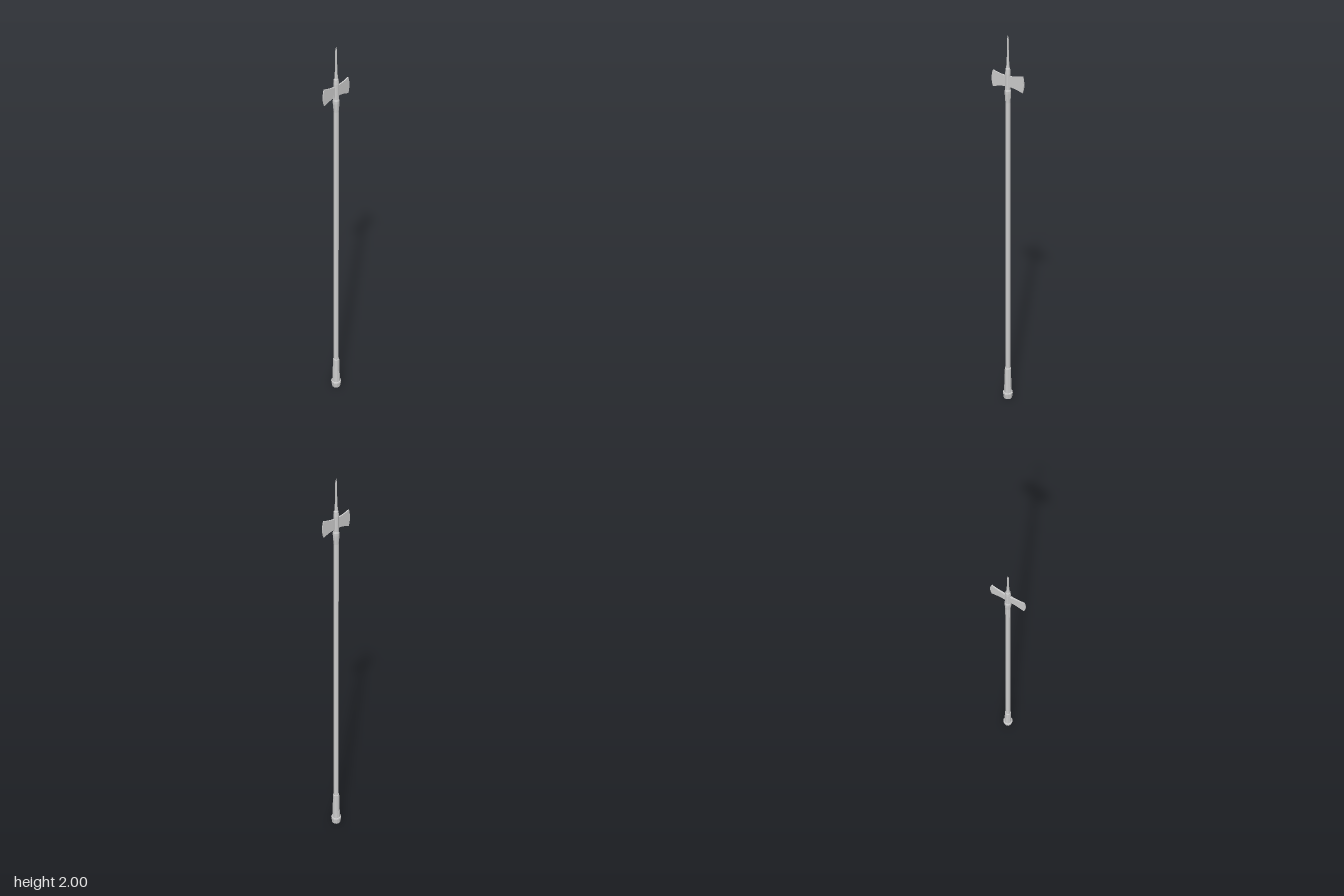
import * as THREE from 'three';

const mat = new THREE.MeshStandardMaterial({ color: 0xcccccc, flatShading: true });

// Turned part from [radius, y] pairs, listed bottom to top
function turned(name, profile, sides = 10) {
  const points = profile.map(([r, y]) => new THREE.Vector2(r, y));
  const mesh = new THREE.Mesh(new THREE.LatheGeometry(points, sides), mat);
  mesh.name = name;
  return mesh;
}

// Flared axe blade pointing along +x, thinning towards its edge
function bladeGeometry() {
  const s = new THREE.Shape();
  s.moveTo(0, 1.757);
  s.lineTo(0.018, 1.757);
  s.quadraticCurveTo(0.045, 1.755, 0.079, 1.742);
  s.quadraticCurveTo(0.093, 1.782, 0.079, 1.822);
  s.quadraticCurveTo(0.045, 1.81, 0.018, 1.809);
  s.lineTo(0, 1.809);
  const g = new THREE.ExtrudeGeometry(s, { depth: 0.007, bevelEnabled: false, curveSegments: 6 });
  g.translate(0, 0, -0.0035);
  const p = g.attributes.position;
  for (let i = 0; i < p.count; i++) {
    p.setZ(i, p.getZ(i) * (1 - 4 * Math.max(0, p.getX(i) - 0.02)));
  }
  g.computeVertexNormals();
  return g;
}

export function createModel() {
  const model = new THREE.Group();
  model.name = 'poleAxe';

  // Pole with its foot
  model.add(turned('shaft', [[0.0138, 0.15], [0.0118, 1.74]]));
  model.add(turned('ferrule', [[0.021, 0.03], [0.0165, 0.19], [0.0125, 0.194]]));
  model.add(turned('footCap', [[0, 0], [0.023, 0], [0.027, 0.03], [0.026, 0.036], [0.02, 0.037]]));

  // Socket that holds the head, and the top spike
  model.add(turned('socket', [[0.0115, 1.675], [0.0135, 1.70], [0.0155, 1.725], [0.0155, 1.737],
    [0.0128, 1.745], [0.0128, 1.82], [0.011, 1.842], [0.006, 1.85]]));
  model.add(turned('spike', [[0.009, 1.835], [0.0065, 1.87], [0.005, 1.9], [0.004, 1.98], [0, 2]], 8));

  // Mirrored blades with the thick lugs at their roots
  const blade = bladeGeometry();
  for (const side of [1, -1]) {
    const half = new THREE.Group();
    half.name = side > 0 ? 'leftBlade' : 'rightBlade';
    half.rotation.y = side > 0 ? 0 : Math.PI;
    const plate = new THREE.Mesh(blade, mat);
    plate.name = 'plate';
    const lug = new THREE.Mesh(new THREE.BoxGeometry(0.018, 0.05, 0.009), mat);
    lug.name = 'lug';
    lug.position.set(0.015, 1.783, 0);
    half.add(plate, lug);
    model.add(half);
  }
  return model;
}
